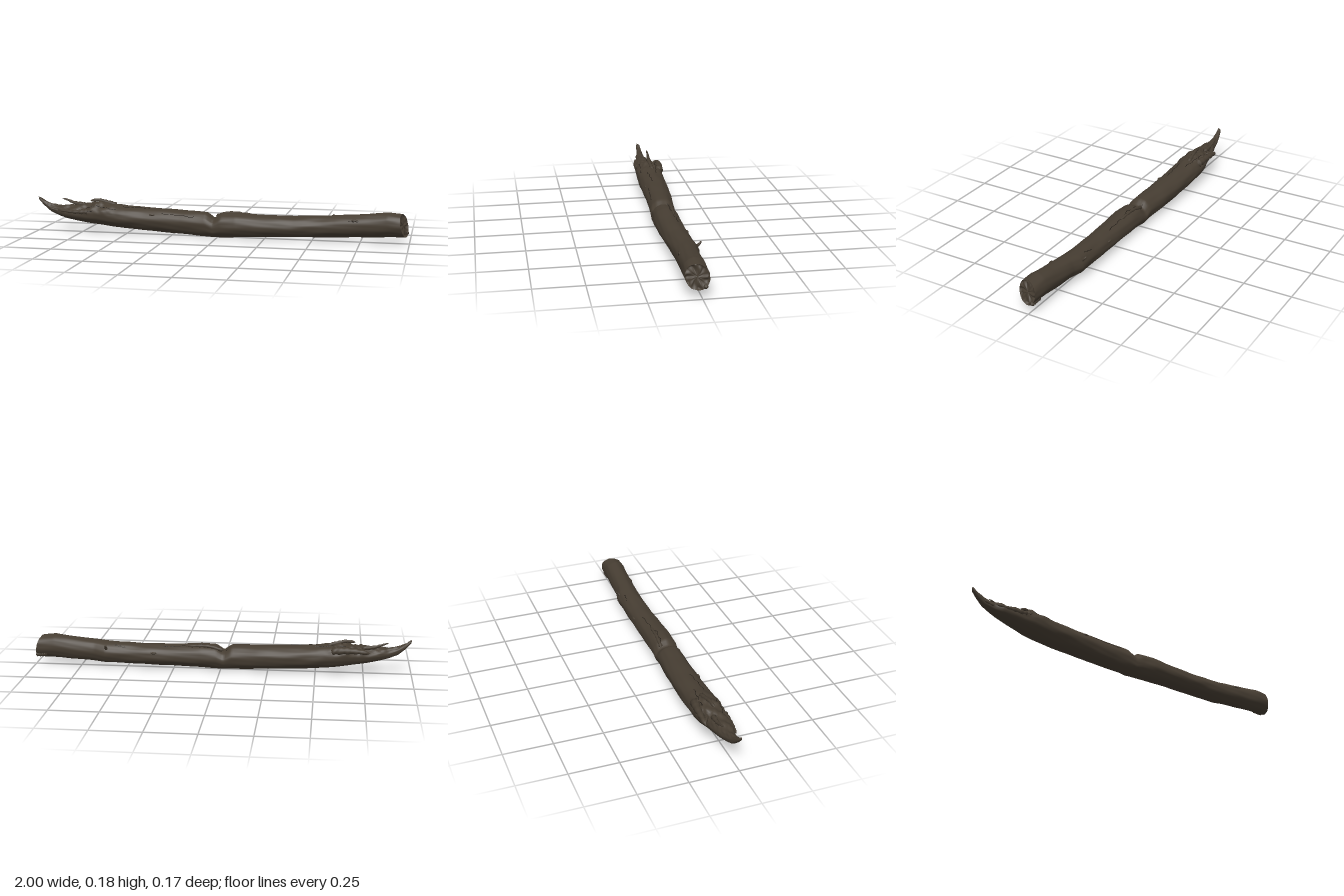
import * as THREE from 'three';

// log stations, one row each: x, top, bottom, back z, front z
const STATIONS = [
  [-1, .19, .175, -.008, .010], [-.97, .17, .142, -.014, .013], [-.93, .152, .108, -.02, .018],
  [-.88, .143, .088, -.028, .028], [-.84, .146, .076, -.04, .046], [-.78, .148, .064, -.05, .052],
  [-.72, .152, .055, -.062, .055], [-.66, .17, .047, -.082, .06], [-.6, .163, .04, -.085, .064],
  [-.5, .152, .03, -.082, .064], [-.4, .147, .024, -.08, .064], [-.2, .14, .013, -.07, .065],
  [-.06, .135, .006, -.058, .072], [-.02, .106, .004, -.056, .074], [.02, .132, .005, -.055, .077],
  [.1, .137, .008, -.055, .08], [.2, .13, .013, -.055, .078], [.4, .128, .019, -.057, .07],
  [.55, .136, .023, -.059, .065], [.61, .14, .025, -.062, .064], [.67, .145, .029, -.048, .065],
  [.8, .156, .035, -.043, .069], [.89, .168, .04, -.039, .073], [.97, .16, .043, -.036, .076],
];

function station(x) {
  let i = 0;
  while (i < STATIONS.length - 2 && x > STATIONS[i + 1][0]) i++;
  const a = STATIONS[i], b = STATIONS[i + 1];
  const t = THREE.MathUtils.clamp((x - a[0]) / (b[0] - a[0]), 0, 1);
  return a.map((v, k) => v + (b[k] - v) * t);
}

// point on the bark; angle 0 is the top, turning towards the front
function barkPoint(x, angle, scale = 1, lift = 0) {
  const [, top, bottom, back, front] = station(x);
  const c = Math.cos(angle), s = Math.sin(angle);
  const grain = .012 * Math.sin(3 * angle + 5 * x) + .014 * Math.sin(7 * angle + 9 * x + Math.sin(13 * x))
    + .009 * Math.sin(13 * angle - 21 * x) + .008 * Math.sin(41 * x + 2 * angle);
  // torn wood along the top of the broken end
  const torn = THREE.MathUtils.smoothstep(-x, .5, .68) * Math.max(0, c);
  const rag = torn * (.09 * Math.sin(67 * x + 4 * angle) + .06 * Math.sin(131 * x - 9 * angle));
  const r = (1 + grain + rag) * scale;
  const y = (top + bottom) / 2 + c * ((top - bottom) / 2 * r + lift);
  const z = (front + back) / 2 + s * ((front - back) / 2 * r + lift);
  // slanted cut at the other end
  const cut = THREE.MathUtils.smoothstep(x, .86, .97);
  return new THREE.Vector3(x + cut * (-.3 * (z - .02) - .2 * (y - .1)), y, z);
}

// closed skin over rings of points
function skin(rings) {
  const n = rings[0].length, index = [];
  for (let i = 0; i < rings.length - 1; i++) {
    for (let j = 0; j < n; j++) {
      const k = (j + 1) % n, a = i * n + j, c = i * n + k;
      index.push(a, c, a + n, c, c + n, a + n);
    }
  }
  const geometry = new THREE.BufferGeometry().setFromPoints(rings.flat());
  geometry.setIndex(index);
  geometry.computeVertexNormals();
  return geometry;
}

const ring = (n, f) => Array.from({ length: n }, (_, j) => f(j / n * Math.PI * 2));

// tapered splinter along a curve: radii go from r0 to r1
function splinter(points, r0, r1, flat = 1) {
  const curve = new THREE.CatmullRomCurve3(points.map(p => new THREE.Vector3(...p)));
  const steps = 14, sides = 9, frames = curve.computeFrenetFrames(steps);
  const rings = [];
  for (let i = 0; i <= steps; i++) {
    const t = i / steps, p = curve.getPointAt(t);
    const end = i === 0 || i === steps ? 0 : 1;
    const r = end * (r0 + (r1 - r0) * t) * (1 + .18 * Math.sin(i * 2.3));
    rings.push(ring(sides, a => p.clone()
      .addScaledVector(frames.normals[i], Math.cos(a) * r)
      .addScaledVector(frames.binormals[i], Math.sin(a) * r * flat)));
  }
  return skin(rings);
}

export function createModel() {
  const model = new THREE.Group();
  const bark = new THREE.MeshStandardMaterial({ color: 0x463d32 });
  const crackDark = new THREE.MeshStandardMaterial({ color: 0x211c17 });
  bark.name = 'bark';
  crackDark.name = 'crackDark';
  const add = (name, geometry, material = bark) => {
    const mesh = new THREE.Mesh(geometry, material);
    mesh.name = name;
    model.add(mesh);
  };

  // main log, closed at the thin tip
  const N = 48, COUNT = 240, rings = [];
  for (let i = 0; i <= COUNT; i++) {
    const x = -1 + 1.97 * i / COUNT;
    rings.push(ring(N, a => barkPoint(x, a, i === 0 ? 0 : 1)));
  }
  add('log', skin(rings));

  // rough cut face with a chipped rim
  const capRings = [1, .93, .8, .6, .4, .2, 0].map((s, i) => ring(N, a => {
    const p = barkPoint(.97, a, s);
    if (i > 0) p.x += s * (.006 * Math.sin(5 * a + i) + .004 * Math.sin(11 * a)) - .006;
    return p;
  }));
  add('cutFace', skin(capRings));
  add('cutSpur', splinter([[.93, .065, -.012], [.965, .06, -.014], [.995, .058, -.018]], .017, .009));

  // splinters and torn flaps of the broken end
  add('tipSplinter', splinter([[-.9, .125, .004], [-.95, .145, .004], [-.98, .165, .002], [-1, .188, .006]], .014, .006));
  add('tallSplinter', splinter([[-.74, .145, -.028], [-.81, .155, -.033], [-.85, .17, -.035], [-.88, .178, -.032]], .014, .003));
  add('backFlap', splinter([[-.58, .135, -.06], [-.66, .142, -.073], [-.73, .14, -.078], [-.785, .132, -.08]], .024, .009));
  add('flapHook', splinter([[-.77, .136, -.083], [-.75, .142, -.066], [-.72, .143, -.05]], .008, .007));
  add('tornCrest', splinter([[-.56, .152, -.02], [-.62, .168, -.016], [-.66, .177, -.012], [-.71, .172, -.008]], .012, .007));
  add('frontSplinter', splinter([[-.7, .12, .045], [-.8, .118, .045], [-.88, .122, .034]], .016, .004));
  add('sideSplinter', splinter([[-.8, .115, .018], [-.88, .118, .02], [-.94, .132, .018]], .014, .004));
  add('ridge', splinter([[-.02, .11, -.025], [.06, .13, -.02], [.18, .126, -.015]], .01, .006));

  // twig stub and knots
  add('twigStub', splinter([[.6, .105, -.045], [.605, .12, -.06], [.6, .133, -.072]], .009, .004));
  for (const [x, a] of [[.72, .95], [.35, -1.2], [-.35, 1.0]]) {
    const p = barkPoint(x, a);
    const knot = new THREE.SphereGeometry(1, 12, 8);
    knot.scale(.016, .006, .006).translate(p.x, p.y, p.z);
    add('knot', knot);
  }

  // narrow cracks along the grain: start x, end x, angle, drift
  const cracks = [
    [-.72, -.55, .7, .2], [-.66, -.5, -.6, .3], [-.52, -.36, .35, -.15], [-.3, -.12, .8, .12],
    [-.04, .12, -.45, .2], [.1, .3, -.35, -.1], [.69, .74, 1.0, .1], [.5, .56, -.8, .2], [-.8, -.68, 1.1, .15],
  ];
  for (const [x0, x1, a, drift] of cracks) {
    const points = Array.from({ length: 9 }, (_, i) => {
      const t = i / 8;
      return barkPoint(x0 + (x1 - x0) * t, a + drift * t + .05 * Math.sin(i * 2.1), 1, -.0004);
    });
    add('crack', new THREE.TubeGeometry(new THREE.CatmullRomCurve3(points), 32, .0016, 5), crackDark);
  }

  // rest on the ground and centre lengthwise
  const box = new THREE.Box3().setFromObject(model);
  model.position.set(-(box.min.x + box.max.x) / 2, -box.min.y, 0);
  return model;
}
